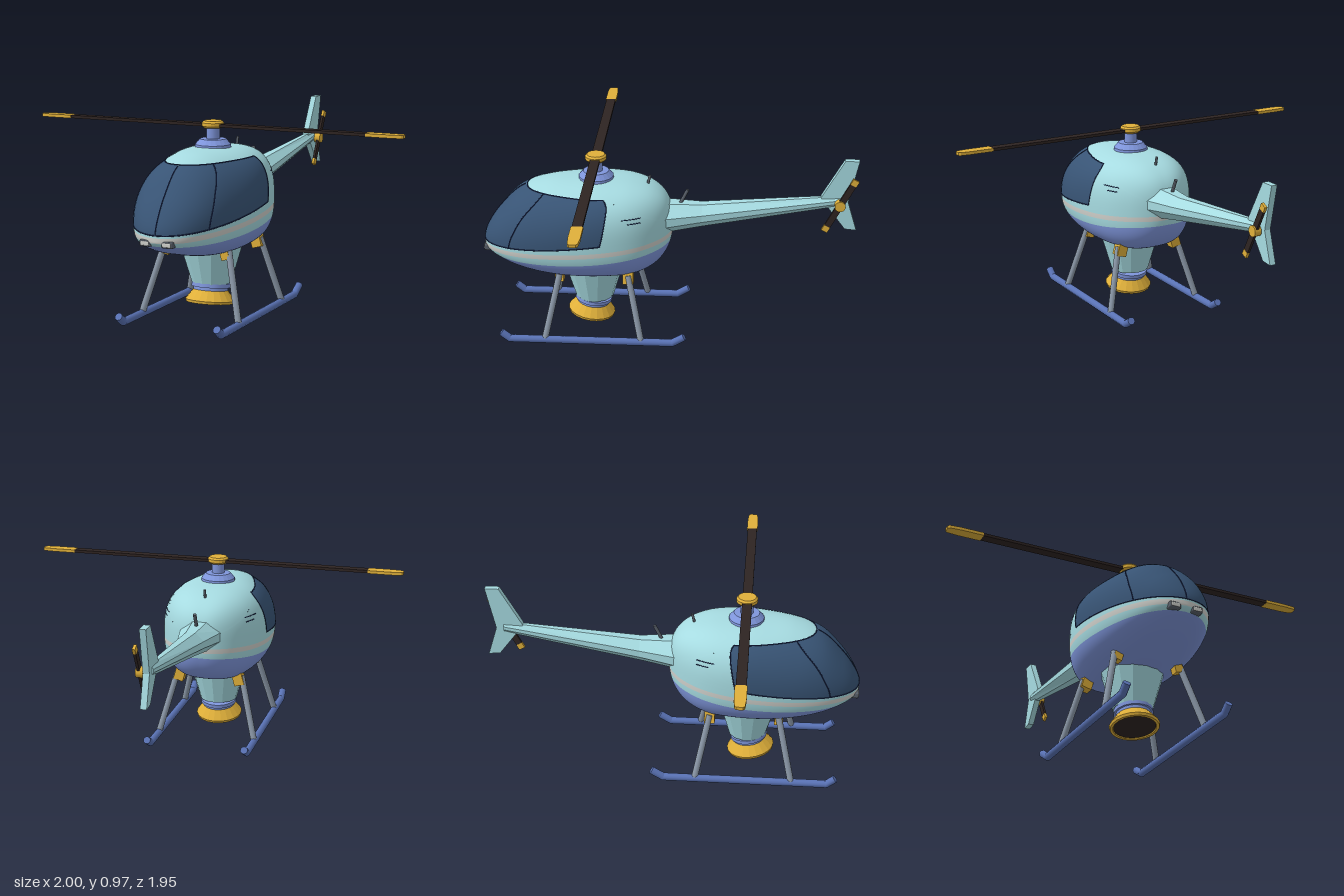
import * as THREE from 'three';
import { mergeGeometries, mergeVertices } from 'three/addons/utils/BufferGeometryUtils.js';
import { RoundedBoxGeometry } from 'three/addons/geometries/RoundedBoxGeometry.js';

const mat = (name, color) => Object.assign(new THREE.MeshStandardMaterial({ color }), { name });
const M = {
  teal: mat('pale teal', 0xa6dbe1), violet: mat('periwinkle', 0x7f96dc), skid: mat('skid blue', 0x5a73b6),
  glass: mat('dark glass', 0x385475), frame: mat('navy frame', 0x1a2650), gold: mat('gold', 0xe0b03a),
  blade: mat('blade brown', 0x2e2422), strut: mat('strut grey', 0x8b98a8), stripe: mat('stripe grey', 0xcfd0cb),
  dark: mat('dark grey', 0x59606a),
};
const V = (x, y, z) => new THREE.Vector3(x, y, z);

// Fuselage outline at eleven stations, nose to rear
const ZC = 0.477, ZR = 0.497;
const TOP = [0.49, 0.57, 0.675, 0.783, 0.832, 0.845, 0.845, 0.835, 0.8, 0.73, 0.61];
const BOT = [0.47, 0.443, 0.408, 0.37, 0.342, 0.33, 0.33, 0.34, 0.385, 0.47, 0.59];
const MID = [0.48, 0.49, 0.51, 0.53, 0.55, 0.56, 0.57, 0.58, 0.59, 0.6, 0.6];
const WIDE = [0, 0.09, 0.167, 0.228, 0.268, 0.286, 0.281, 0.248, 0.182, 0.096, 0];

function sample(t, s) {
  const i = Math.min(Math.floor(s * 10), 9), f = s * 10 - i, b = t[i], c = t[i + 1];
  const a = i ? t[i - 1] : 2 * b - c, d = i < 9 ? t[i + 2] : 2 * c - b;
  return b + 0.5 * f * (c - a + f * (2 * a - 5 * b + 4 * c - d + f * (3 * (b - c) + d - a)));
}
const toZ = (s) => ZC + ZR * Math.cos(Math.PI * s);
const toS = (z) => Math.acos(THREE.MathUtils.clamp((z - ZC) / ZR, -1, 1)) / Math.PI;

// Half width of the fuselage at a station and height: round at the nose, squarer aft and below
function halfWidth(z, y) {
  const s = toS(z), m = sample(MID, s);
  const h = y > m ? sample(TOP, s) - m : m - sample(BOT, s);
  const n = y > m ? 2.7 - 0.6 * THREE.MathUtils.smoothstep(z, 0.3, 0.65) : 2.7;
  const k = 1 - Math.pow(Math.min(Math.abs(y - m) / Math.max(h, 1e-5), 1), n);
  return Math.max(sample(WIDE, s), 0) * Math.pow(k, 1 / n);
}

// Heights of the paint lines along the fuselage
const belly = (z) => 0.442 + 0.0765 * (0.974 - z) ** 2;
const stripeTop = (z) => 0.488 + 0.085 * (0.974 - z);
const stripeBottom = (z) => stripeTop(z) - 0.026;
const glassBottom = (z) => 0.5 + 0.124 * (0.974 - z);
const glassTop = (z) => 0.8 - 0.5 * Math.max(0, 0.3 - z);
const glassRear = (v) => 0.34 - 0.042 * v ** 0.8 + 0.025 * v ** 12;

// One painted band of the fuselage, between two height lines
function patch(side, low, high, ease, rows, s0, s1) {
  const cols = 120, pos = [], index = [];
  for (let j = 0; j <= rows; j++) {
    const v = ease(j / rows);
    for (let i = 0; i <= cols; i++) {
      const s = THREE.MathUtils.lerp(s0(v), s1(v), i / cols), z = toZ(s);
      const t = sample(TOP, s), b = sample(BOT, s);
      const lo = THREE.MathUtils.clamp(low(z), b, t), hi = THREE.MathUtils.clamp(high(z), b, t);
      const y = lo + (hi - lo) * v;
      pos.push(side * halfWidth(z, y), y, z);
      if (i < cols && j < rows) {
        const a = j * (cols + 1) + i, c = a + cols + 1;
        if (side > 0) index.push(a, a + 1, c + 1, a, c + 1, c);
        else index.push(a, c + 1, a + 1, a, c, c + 1);
      }
    }
  }
  const g = new THREE.BufferGeometry();
  g.setAttribute('position', new THREE.Float32BufferAttribute(pos, 3));
  return g.setIndex(index);
}

function fuselage() {
  const nose = () => 0, rear = () => 1, post = (v) => toS(glassRear(v));
  const up = (t) => 1 - (1 - t) ** 2.6, down = (t) => t ** 2.7, mid = (t) => t * t * (3 - 2 * t);
  const bands = [
    [M.violet, () => -9, belly, down, 28, nose, rear],
    [M.teal, belly, stripeBottom, mid, 6, nose, rear],
    [M.stripe, stripeBottom, stripeTop, mid, 6, nose, rear],
    [M.teal, stripeTop, glassBottom, mid, 6, nose, rear],
    [M.glass, glassBottom, glassTop, up, 32, nose, post],
    [M.teal, glassBottom, glassTop, up, 32, post, rear],
    [M.teal, glassTop, () => 9, up, 20, nose, rear],
  ];
  const parts = [], mats = [];
  for (const side of [1, -1]) for (const [m, ...args] of bands) {
    parts.push(patch(side, ...args));
    mats.push(m);
  }
  const g = mergeVertices(mergeGeometries(parts, true), 1e-5);
  g.computeVertexNormals();
  return [g, mats];
}

// Points on the fuselage along a height line, from the centre line back to zEnd
function edge(line, zEnd) {
  const pts = [];
  let z = 0;
  for (let x = 0; x < 0.125; x += 0.01) {
    let lo = ZC, hi = ZC + ZR;
    for (let k = 0; k < 30; k++) {
      z = (lo + hi) / 2;
      if (halfWidth(z, line(z)) > x) lo = z; else hi = z;
    }
    pts.push(V(x, line(z), z));
  }
  for (let i = 1; i <= 20; i++) {
    const q = THREE.MathUtils.lerp(z, zEnd, i / 20);
    pts.push(V(halfWidth(q, line(q)), line(q), q));
  }
  return pts;
}

// Lofted eight-sided beam, stations of [z, low, high, half width]
function loft(stations) {
  const ring = [[0.35, 1], [1, 0.3], [1, -0.3], [0.4, -1], [-0.4, -1], [-1, -0.3], [-1, 0.3], [-0.35, 1]];
  const pos = [], index = [];
  stations.forEach(([z, lo, hi, w], k) => ring.forEach(([x, y], i) => {
    pos.push(x * w, (lo + hi) / 2 + y * (hi - lo) / 2, z);
    const a = k * 8 + i, b = k * 8 + (i + 1) % 8;
    if (k < stations.length - 1) index.push(a, b, b + 8, a, b + 8, a + 8);
    else if (i > 0 && i < 7) index.push(k * 8, a, b);
  }));
  const g = new THREE.BufferGeometry();
  g.setAttribute('position', new THREE.Float32BufferAttribute(pos, 3));
  return flat(g.setIndex(index));
}

const flat = (g) => { const n = g.toNonIndexed(); n.computeVertexNormals(); return n; };
const plate = (pts, depth) => new THREE.ExtrudeGeometry(
  new THREE.Shape(pts.map(([x, y]) => new THREE.Vector2(x, y))), { depth, bevelEnabled: false }).translate(0, 0, -depth / 2);
const lathe = (pts, n) => flat(new THREE.LatheGeometry(pts.map(([r, y]) => new THREE.Vector2(r, y)), n));

export function createModel() {
  const model = new THREE.Group();
  const add = (name, geo, material, x = 0, y = 0, z = 0, parent = model) => {
    const m = new THREE.Mesh(geo, material);
    m.name = name;
    m.position.set(x, y, z);
    parent.add(m);
    return m;
  };
  const rod = (name, a, b, r, material) => {
    const m = add(name, new THREE.CylinderGeometry(r, r, a.distanceTo(b), 10), material);
    m.position.copy(a).lerp(b, 0.5);
    m.quaternion.setFromUnitVectors(V(0, 1, 0), b.clone().sub(a).normalize());
  };
  const line = (name, pts, r = 0.003) =>
    add(name, new THREE.TubeGeometry(new THREE.CatmullRomCurve3(pts), pts.length * 2, r, 6), M.frame);

  add('fuselage', ...fuselage());

  // Window frames
  const pillar = new THREE.SplineCurve([[0.635, 0.8], [0.74, 0.69], [0.8, 0.585], [0.82, 0.52]].map((p) => new THREE.Vector2(...p)));
  const onSkin = (side, z, y) => V(side * halfWidth(z, y), y, z);
  for (const side of [1, -1]) {
    const flip = (pts) => pts.map((p) => V(p.x * side, p.y, p.z));
    line('windowTopFrame', flip(edge(glassTop, glassRear(1))));
    line('windowBottomFrame', flip(edge(glassBottom, 0.34)));
    line('doorPillar', pillar.getPoints(16).map((p) => onSkin(side, p.x, p.y)));
    line('windowRearFrame', Array.from({ length: 21 }, (_, i) =>
      onSkin(side, glassRear(i / 20), 0.578 + 0.222 * i / 20)));
    // Side vents
    for (const [z0, y] of [[0.23, 0.713], [0.2, 0.69]])
      line('sideVent', Array.from({ length: 7 }, (_, i) => onSkin(side, z0 + (0.135 - z0) * i / 6, y)), 0.0025);
    // Headlights
    add('headlightRim', new RoundedBoxGeometry(0.058, 0.032, 0.04, 2, 0.006), M.dark, side * 0.058, 0.459, 0.95);
    add('headlight', new RoundedBoxGeometry(0.046, 0.021, 0.04, 2, 0.005), M.stripe, side * 0.058, 0.459, 0.953);
  }
  line('windscreenDivider', Array.from({ length: 25 }, (_, i) => {
    const s = 0.02 + (toS(0.745) - 0.02) * i / 24;
    return V(0, sample(TOP, s), toZ(s));
  }));

  // Tail boom and fin
  add('tailBoom', loft([[0.06, 0.548, 0.716, 0.118], [-0.17, 0.588, 0.708, 0.07], [-0.88, 0.715, 0.77, 0.024]]), M.teal);
  add('tailFin', plate([[-0.78, 0.762], [-0.895, 0.968], [-0.967, 0.968], [-0.92, 0.74], [-0.97, 0.582], [-0.91, 0.587],
    [-0.82, 0.705]], 0.032).rotateY(-Math.PI / 2), M.teal);

  // Tail rotor
  const tail = new THREE.Group();
  tail.name = 'tailRotor';
  tail.position.set(0.041, 0.732, -0.878);
  tail.rotation.x = -0.48;
  model.add(tail);
  add('tailRotorHub', new THREE.CylinderGeometry(0.028, 0.028, 0.036, 14).rotateZ(Math.PI / 2), M.gold, 0, 0, 0, tail);
  add('tailRotorBlade', new THREE.BoxGeometry(0.013, 0.27, 0.033), M.blade, 0.003, 0, 0, tail);
  for (const s of [1, -1])
    add('tailRotorTip', new THREE.BoxGeometry(0.015, 0.032, 0.034), M.gold, 0.003, s * 0.147, 0, tail);

  // Mast and main rotor
  const RZ = 0.378;
  add('mastCollar', lathe([[0.092, 0.835], [0.09, 0.855], [0.066, 0.882], [0, 0.884]], 20), M.violet, 0, 0, RZ);
  add('mast', new THREE.CylinderGeometry(0.034, 0.034, 0.08, 16), M.violet, 0, 0.91, RZ);
  add('rotorHub', lathe([[0, 0.936], [0.045, 0.936], [0.055, 0.946], [0.055, 0.962], [0.046, 0.972], [0, 0.972]], 20), M.gold, 0, 0, RZ);
  add('rotorBlades', new THREE.BoxGeometry(1.63, 0.015, 0.05), M.blade, 0, 0.95, RZ);
  for (const s of [1, -1]) {
    const tip = plate([[0, -0.029], [0.12, -0.029], [0.175, -0.024], [0.185, -0.016], [0.185, 0.016], [0.175, 0.024],
      [0.12, 0.029], [0, 0.029]], 0.016).rotateX(-Math.PI / 2);
    add('rotorTip', tip, M.gold, s * 0.815, 0.95, RZ).rotation.y = s > 0 ? 0 : Math.PI;
  }

  // Belly tank and tilted nozzle
  add('bellyTank', flat(new THREE.CylinderGeometry(0.162, 0.101, 0.205, 14)), M.teal, 0, 0.26, 0.4);
  const nozzle = new THREE.Group();
  nozzle.name = 'nozzle';
  nozzle.position.set(0, 0.054, 0.42);
  nozzle.rotation.x = -0.15;
  model.add(nozzle);
  add('nozzleBell', lathe([[0.098, 0.03], [0.108, 0], [0.122, 0], [0.126, 0.014], [0.086, 0.067], [0, 0.068]], 20), M.gold, 0, 0, 0, nozzle);
  add('nozzleOpening', new THREE.CircleGeometry(0.109, 20).rotateX(Math.PI / 2), M.blade, 0, 0.006, 0, nozzle);
  for (const [r, y] of [[0.088, 0.073], [0.099, 0.09]])
    add('nozzleRing', new THREE.CylinderGeometry(r, r, 0.02, 20), M.violet, 0, y, 0, nozzle);

  // Skids, struts and brackets
  for (const s of [1, -1]) {
    const path = [[0.056, 0.87], [0.02, 0.825], [0.02, -0.03], [0.058, -0.093]].map(([y, z]) => V(s * 0.267, y, z));
    for (let i = 0; i < 3; i++) rod('skid', path[i], path[i + 1], 0.02, M.skid);
    for (const p of path.slice(1, 3)) add('skidJoint', new THREE.SphereGeometry(0.02, 10, 8), M.skid, p.x, p.y, p.z);
    for (const [zTop, zFoot, size] of [[0.563, 0.64, 0.044], [0.205, 0.135, 0.054]]) {
      rod('strut', V(s * 0.178, 0.365, zTop), V(s * 0.267, 0.025, zFoot), 0.017, M.strut);
      add('strutBracket', new THREE.BoxGeometry(size, size * 1.25, size), M.gold, s * 0.163, 0.348, zTop).rotation.z = s * 0.27;
    }
  }

  // Antennas
  rod('roofAntenna', V(0, 0.81, 0.112), V(0, 0.859, 0.099), 0.007, M.dark);
  rod('boomAntenna', V(0, 0.7, -0.055), V(0, 0.782, -0.095), 0.009, M.dark);
  return model;
}
